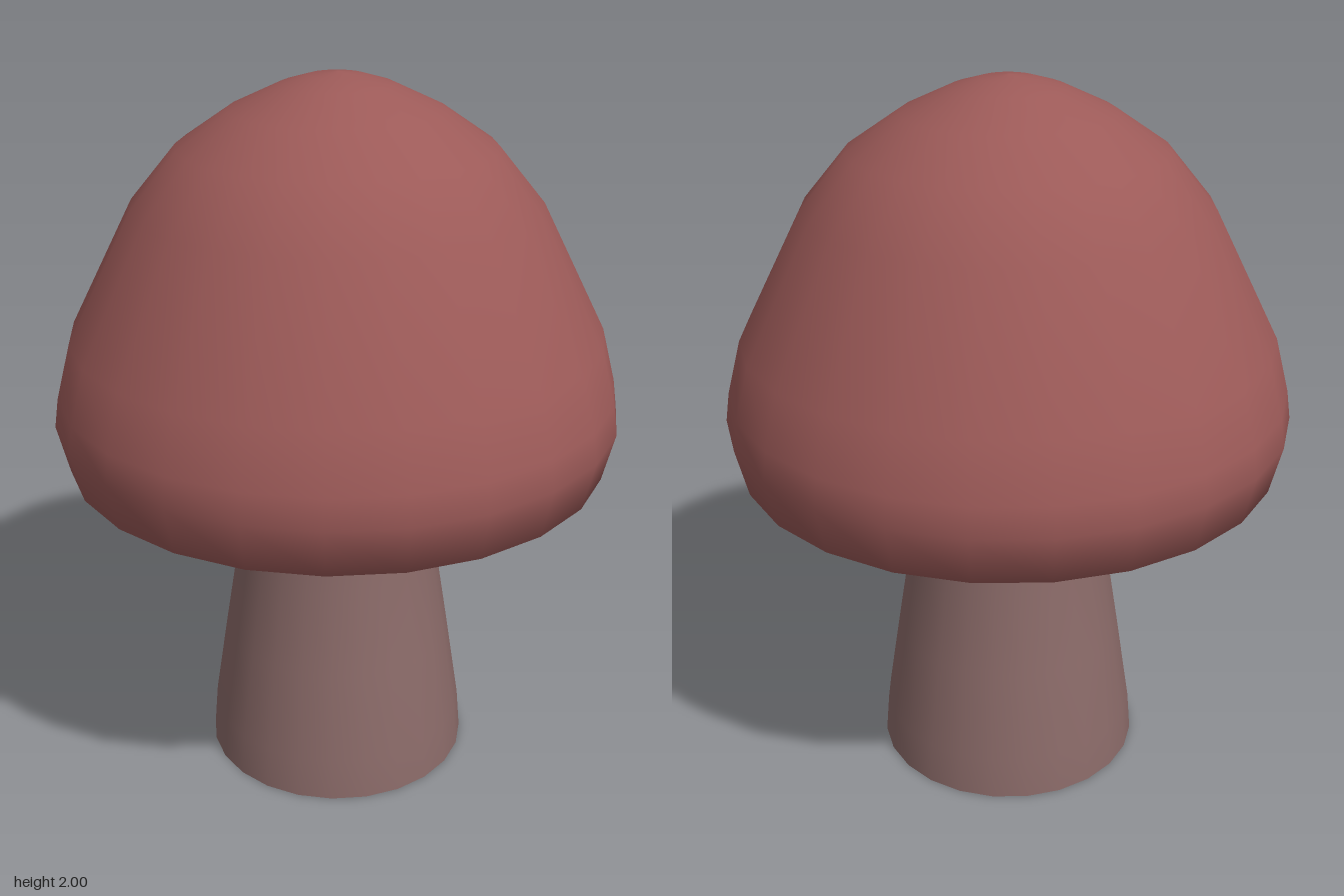
import * as THREE from 'three';

const SIDES = 24;

// Smooth turned part from [radius, height] pairs, listed from bottom to top.
function turned(name, profile, color) {
  const points = profile.map(([r, y]) => new THREE.Vector2(r, y));
  const material = new THREE.MeshStandardMaterial({ color, side: THREE.DoubleSide });
  const mesh = new THREE.Mesh(new THREE.LatheGeometry(points, SIDES), material);
  mesh.name = name;
  return mesh;
}

export function createModel() {
  const model = new THREE.Group();
  model.name = 'mushroom';

  // Tapered stem, open at the base, flaring where it meets the cap
  model.add(turned('stem', [
    [0.38, 0], [0.37, 0.12], [0.33, 0.38], [0.29, 0.63],
    [0.26, 0.92], [0.265, 0.97], [0.295, 1.0],
  ], 0x8a6a68));

  // Domed cap: hollowed underside, rounded rim, then up to the crown
  model.add(turned('cap', [
    [0.29, 1.0], [0.48, 0.95], [0.66, 0.92], [0.75, 0.945],
    [0.782, 1.08], [0.77, 1.16], [0.73, 1.31], [0.55, 1.66],
    [0.425, 1.81], [0.285, 1.905], [0.15, 1.968], [0.075, 1.99], [0, 2],
  ], 0x9c5a58));

  return model;
}
